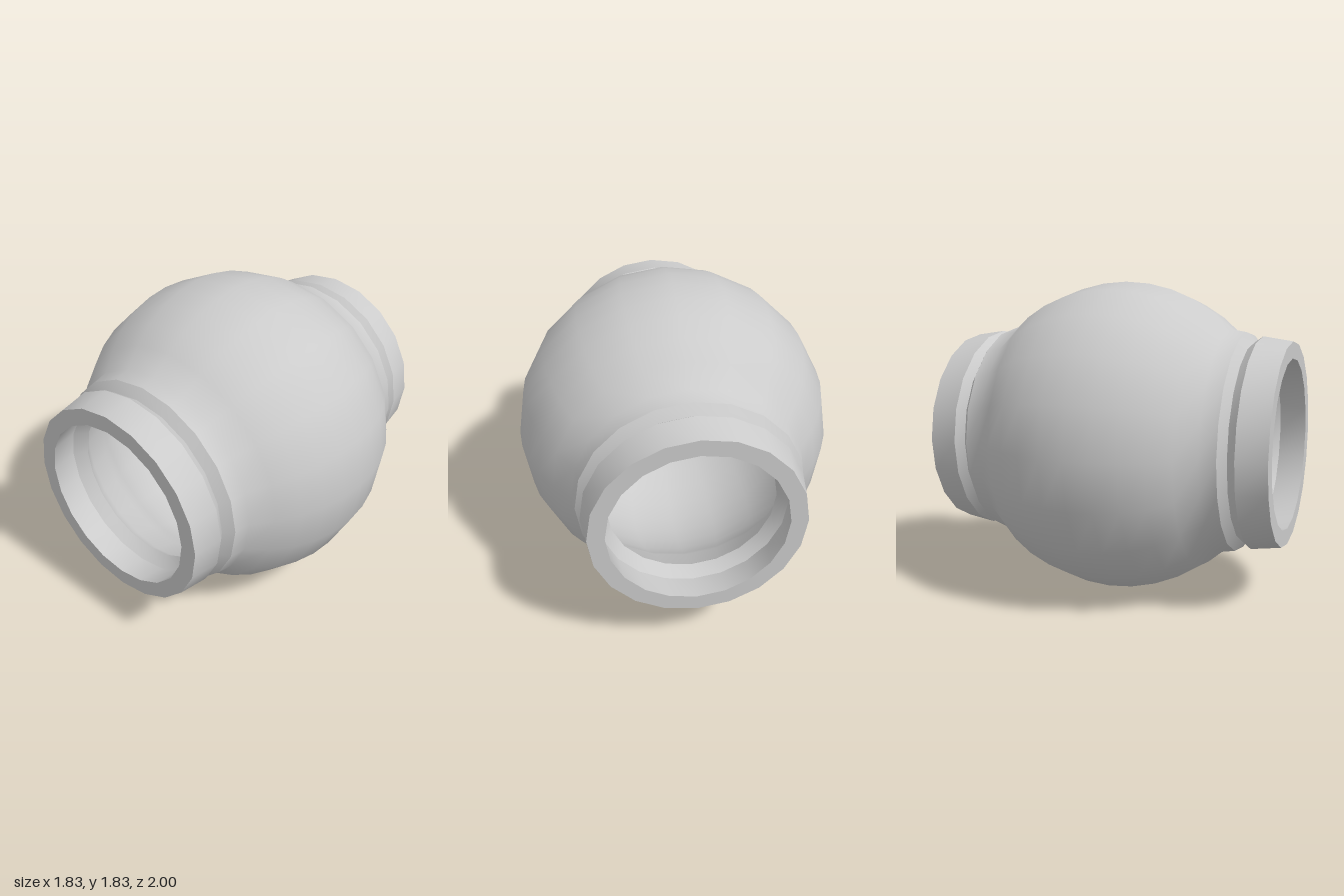
import * as THREE from 'three';
import { toCreasedNormals } from 'three/addons/utils/BufferGeometryUtils.js';

const RADIUS = 0.915;
const SIDES = 20;

// Spherical belly, as [radius, position along the axis], from -45 to +45 degrees
function arc(r) {
  const points = [];
  for (let i = -5; i <= 5; i++) {
    const a = i * Math.PI / 20;
    points.push([r * Math.cos(a), r * Math.sin(a)]);
  }
  return points;
}

// Adds the same neck to both ends of the belly
function wall(r, neck) {
  const near = neck.map(([x, z]) => [x, -z]).reverse();
  return [...near, ...arc(r), ...neck];
}

export function createModel() {
  const group = new THREE.Group();
  group.name = 'pipeFitting';

  // Shoulder, groove and flared collar, outside and inside
  const outer = wall(RADIUS, [[0.63, 0.74], [0.575, 0.782], [0.61, 0.83], [0.585, 1]]);
  const inner = wall(0.82, [[0.53, 0.71], [0.465, 0.775], [0.515, 0.84], [0.49, 1]]);

  // Closed profile: up the outside, over the rim, down the inside
  const profile = [...outer, ...inner.reverse(), outer[0]]
    .map(([x, z]) => new THREE.Vector2(x, z));

  const lathe = new THREE.LatheGeometry(profile, SIDES);
  lathe.rotateX(Math.PI / 2);
  const geometry = toCreasedNormals(lathe, THREE.MathUtils.degToRad(35));

  const body = new THREE.Mesh(geometry, new THREE.MeshStandardMaterial({ color: 0xcccccc }));
  body.name = 'hollowBody';
  body.position.y = RADIUS;
  group.add(body);
  return group;
}
